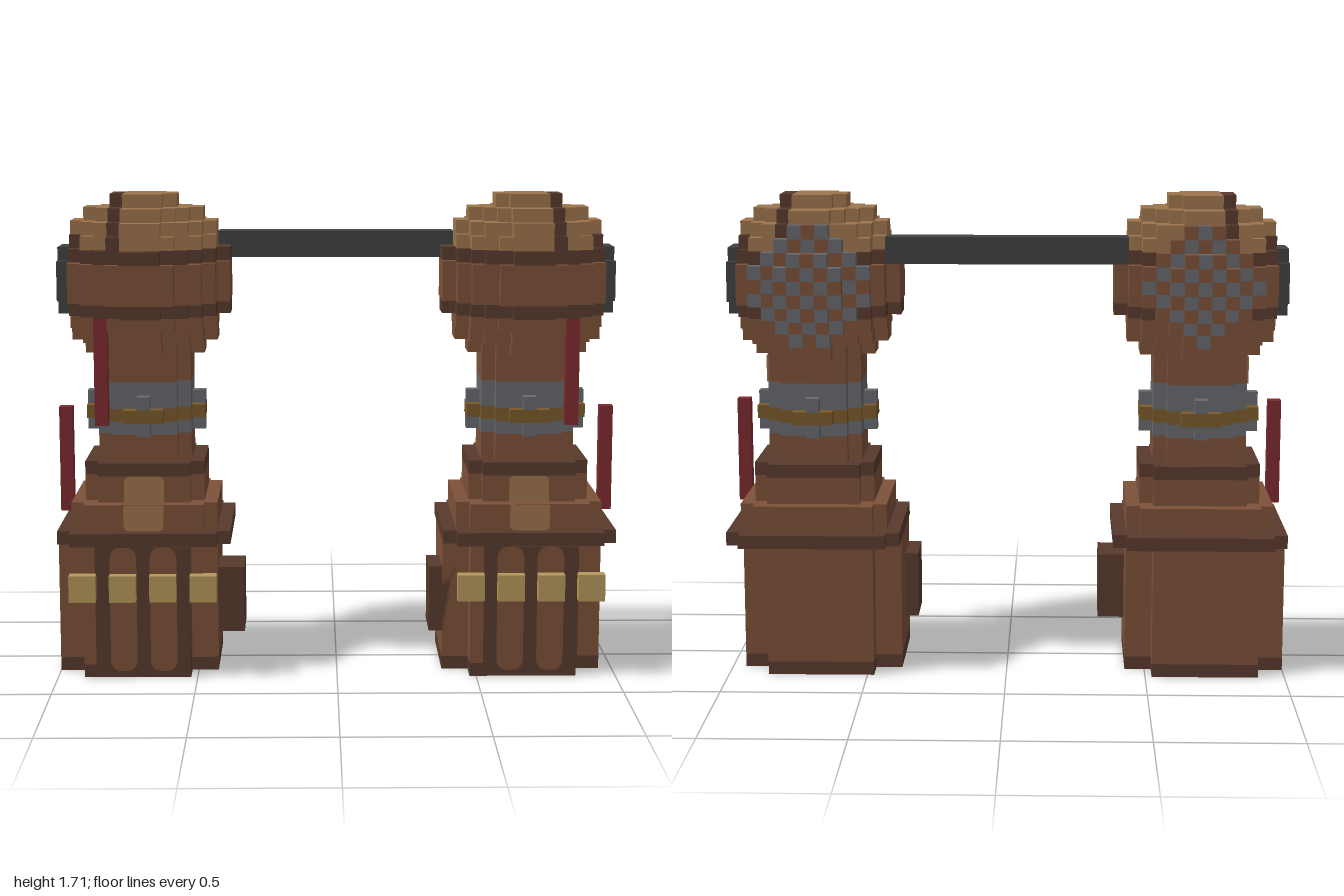
import * as THREE from 'three';

const U = 1 / 21; // one block
const CX = 14.5, CZ = -0.5; // tower axis, in blocks

const mat = (name, color) => {
  const m = new THREE.MeshStandardMaterial({ color });
  m.name = name;
  return m;
};

export function createModel() {
  const M = {
    brown: mat('brown', 0x7d5139),
    dark: mat('darkBrown', 0x583a2d),
    tan: mat('tan', 0x9e744d),
    grey: mat('steelGrey', 0x67696d),
    gold: mat('oldGold', 0x7a5a2a),
    yellow: mat('paleYellow', 0xb6985b),
    red: mat('red', 0x7d2a30),
    coal: mat('charcoal', 0x404142),
  };
  const model = new THREE.Group();
  model.name = 'twinTowers';

  const add = (parent, name, geo, material) => {
    const mesh = new THREE.Mesh(geo, material);
    mesh.name = name;
    parent.add(mesh);
    return mesh;
  };

  // Box from block ranges
  const box = (parent, name, material, x0, x1, y0, y1, z0, z1) => {
    const g = new THREE.BoxGeometry(Math.abs(x1 - x0) * U, (y1 - y0) * U, (z1 - z0) * U);
    g.translate((x0 + x1) / 2 * U, (y0 + y1) / 2 * U, (z0 + z1) / 2 * U);
    return add(parent, name, g, material);
  };

  // Square slab with notched corners
  const slab = (parent, name, material, cx, cz, width, y0, y1, cut) => {
    const h = width / 2 * U, k = h - cut * U;
    const pts = [[k, -h], [k, -k], [h, -k], [h, k], [k, k], [k, h],
      [-k, h], [-k, k], [-h, k], [-h, -k], [-k, -k], [-k, -h]];
    const shape = new THREE.Shape(pts.map(p => new THREE.Vector2(...p)));
    const g = new THREE.ExtrudeGeometry(shape, { depth: (y1 - y0) * U, bevelEnabled: false });
    g.rotateX(-Math.PI / 2);
    g.translate(cx * U, y0 * U, cz * U);
    return add(parent, name, g, material);
  };

  // Flat front-facing patch with rounded corners
  const patch = (parent, name, material, xa, xb, y0, y1, z, r0, r1) => {
    const x0 = Math.min(xa, xb), x1 = Math.max(xa, xb);
    const s = new THREE.Shape();
    s.moveTo(x0 + r0, y0);
    s.lineTo(x1 - r0, y0);
    s.quadraticCurveTo(x1, y0, x1, y0 + r0);
    s.lineTo(x1, y1 - r1);
    s.quadraticCurveTo(x1, y1, x1 - r1, y1);
    s.lineTo(x0 + r1, y1);
    s.quadraticCurveTo(x0, y1, x0, y1 - r1);
    s.lineTo(x0, y0 + r0);
    s.quadraticCurveTo(x0, y0, x0 + r0, y0);
    const g = new THREE.ShapeGeometry(s, 5);
    g.translate(0, 0, z);
    g.scale(U, U, U);
    return add(parent, name, g, material);
  };

  // Block ball; i points outward, j up, k to the front
  const inside = (i, j, k) => i * i + j * j + k * k <= 42.25;
  const ballColour = (i, j, k, s) => {
    if (i >= 5 && j * j + k * k <= 9) return 'coal';
    if (k <= -5 && i * i + j * j <= 17.25) {
      return (Math.abs(i + j) % 2 === 1) === (s > 0) ? 'grey' : 'brown';
    }
    if (i === 2 && j >= 2) return 'dark';
    if (j >= 4) return 'tan';
    if (j === 3) return Math.abs(k) < 4 && i > 0 ? 'dark' : 'tan';
    return Math.abs(j) === 2 ? 'dark' : 'brown';
  };
  const ball = (parent, s) => {
    const faces = {};
    const dirs = [[1, 0, 0], [-1, 0, 0], [0, 1, 0], [0, -1, 0], [0, 0, 1], [0, 0, -1]];
    for (let a = -6; a <= 6; a++) for (let j = -6; j <= 6; j++) for (let k = -6; k <= 6; k++) {
      if (!inside(a, j, k)) continue;
      const list = (faces[ballColour(a * s, j, k, s)] ??= []);
      for (const d of dirs) {
        if (inside(a + d[0], j + d[1], k + d[2])) continue;
        const n = new THREE.Vector3(...d);
        const u = new THREE.Vector3(d[1], d[2], d[0]).multiplyScalar(0.5);
        const v = n.clone().cross(u);
        const c = new THREE.Vector3(s * CX + a, 29.5 + j, CZ + k).addScaledVector(n, 0.5);
        const corner = (p, q) => c.clone().addScaledVector(u, p).addScaledVector(v, q).multiplyScalar(U);
        const [A, B, C, D] = [corner(-1, -1), corner(1, -1), corner(1, 1), corner(-1, 1)];
        list.push(A, B, C, A, C, D);
      }
    }
    const head = new THREE.Group();
    head.name = 'ballHead';
    for (const key in faces) {
      const g = new THREE.BufferGeometry().setFromPoints(faces[key]);
      g.computeVertexNormals();
      add(head, key + 'HeadBlocks', g, M[key]);
    }
    parent.add(head);
  };

  for (const s of [1, -1]) {
    const t = new THREE.Group();
    t.name = s > 0 ? 'leftTower' : 'rightTower';
    model.add(t);
    const cx = s * CX;

    // Base with its dark foot, ribbed front and rim
    const bx = s > 0 ? 14 : -15;
    slab(t, 'foot', M.dark, bx, 0, 12, 0, 1, 2);
    slab(t, 'base', M.brown, bx, 0, 12, 1, 10, 2);
    box(t, 'frontPanel', M.dark, s * 11, s * 18.1, 1, 10, 5, 6.1);
    for (const x of [12, 15]) patch(t, 'frontSlot', M.brown, s * x, s * (x + 2), 0.5, 10, 6.15, 0.9, 0.9);
    for (const x of [9, 12, 15, 18]) box(t, 'frontBlock', M.yellow, s * x, s * (x + 2), 6, 8, 6, 7);
    box(t, 'sideBox', M.dark, s * 7, s * 9, 3, 8, 0, 4);
    slab(t, 'rim', M.dark, cx, CZ, 13, 10, 11, 1);

    // Stepped shoulders
    slab(t, 'lowerStep', M.brown, cx, CZ, 11, 11, 13, 1);
    slab(t, 'upperStep', M.brown, cx, CZ, 9, 13, 15, 1);
    slab(t, 'stepTrim', M.dark, cx, CZ, 9, 15, 16, 1);
    patch(t, 'lowerPatch', M.tan, s * 13, s * 16, 11, 13, 5.1, 0.5, 0);
    patch(t, 'upperPatch', M.tan, s * 13, s * 16, 13, 15, 4.1, 0, 0.5);

    // Neck with metal collar
    slab(t, 'neck', M.brown, cx, CZ, 7, 16, 18, 1);
    slab(t, 'lowerCollar', M.grey, cx, CZ, 7, 18, 19, 1);
    slab(t, 'goldRing', M.gold, cx, CZ, 7, 19, 20, 1);
    slab(t, 'upperCollar', M.grey, cx, CZ, 7, 20, 22, 1);
    slab(t, 'upperNeck', M.brown, cx, CZ, 7, 22, 25, 1);
    box(t, 'neckPatch', M.tan, s * 17.9, s * 18.1, 22, 24, -3, 2);

    // Clasp on each side of the collar
    for (let q = 0; q < 4; q++) {
      const clasp = new THREE.Group();
      clasp.name = 'collarClasp';
      box(clasp, 'claspBar', M.gold, -1.5, 1.5, 19, 20, 3.5, 4.5);
      box(clasp, 'upperStud', M.grey, -0.5, 0.5, 20, 21, 3.5, 4.5);
      box(clasp, 'lowerStud', M.grey, -0.5, 0.5, 18, 19, 3.5, 4.5);
      clasp.position.set(cx * U, 0, CZ * U);
      clasp.rotation.y = q * Math.PI / 2;
      t.add(clasp);
    }

    // Hanging rods
    box(t, 'upperRod', M.red, s * 17, s * 18, 19, 27, 4, 5);
    box(t, 'lowerRod', M.red, s * 20, s * 21, 12, 20, 1, 2);

    ball(t, s);
  }

  // Beam joining the heads
  box(model, 'crossBeam', M.coal, -9, 9, 31, 33, -4, -2);
  return model;
}
